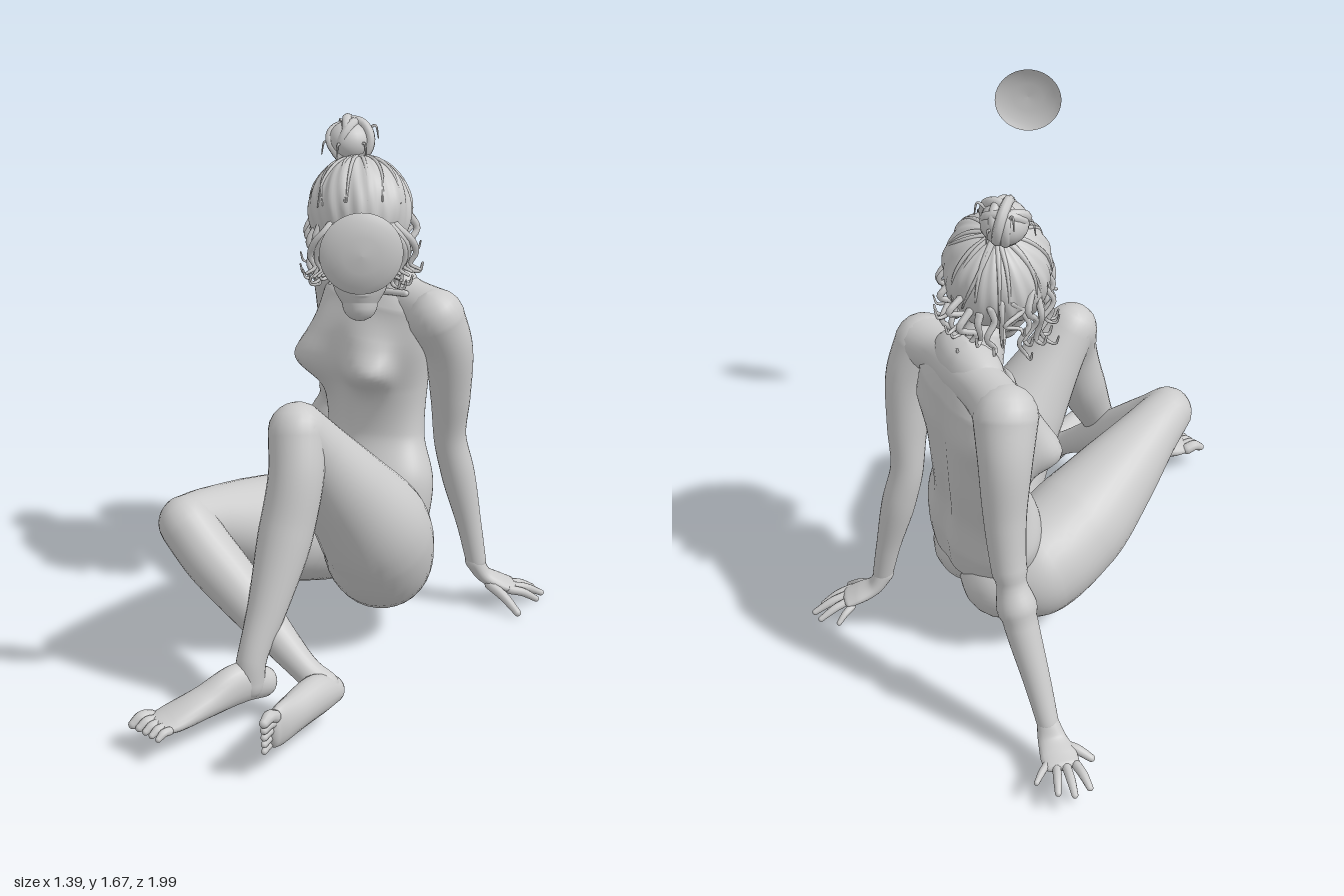
import * as THREE from 'three';
import { mergeVertices } from 'three/addons/utils/BufferGeometryUtils.js';

const V = (x, y, z) => new THREE.Vector3(x, y, z);
const mat = new THREE.MeshStandardMaterial({ color: 0xcccccc });
const thinMat = new THREE.MeshStandardMaterial({ color: 0xcccccc, side: THREE.DoubleSide });
const BACK = Math.PI / 2, FRONT = Math.PI * 1.5;

let seed = 7;
const rnd = (a, b) => {
  seed = (seed * 16807) % 2147483647;
  return a + (b - a) * seed / 2147483647;
};

function add(parent, name, geo, material = mat) {
  const m = new THREE.Mesh(geo, material);
  m.name = name;
  parent.add(m);
  return m;
}

// Soft swellings and hollows: each is [angle, side offset, t, amount, angle width, t width];
// a side offset mirrors the swelling to both sides of its angle.
const swell = list => (a, t) => list.reduce((sum, [a0, off, t0, amt, wa, wt]) => {
  const g = s => Math.exp(-(((a - a0 - s * off) / wa) ** 2) - ((t - t0) / wt) ** 2);
  return sum + amt * (off ? g(1) + g(-1) : g(0));
}, 1);

// Smooth round-ended skin through sections [x, y, z, radiusAlongRef, otherRadius].
// shape(angle, t) scales the outline locally.
function loft(secs, { ref = V(1, 0, 0), rings = 8, sides = 20, shape = () => 1 } = {}) {
  const path = new THREE.CatmullRomCurve3(secs.map(s => V(s[0], s[1], s[2])));
  const size = new THREE.CatmullRomCurve3(secs.map(s => V(s[3], s[4] ?? s[3], 0)));
  const stops = [], caps = 5, n = (secs.length - 1) * rings;
  for (let i = 0; i < caps; i++) stops.push([0, -Math.PI / 2 * (1 - i / caps)]);
  for (let i = 0; i <= n; i++) stops.push([i / n, 0]);
  for (let i = 1; i <= caps; i++) stops.push([1, Math.PI / 2 * i / caps]);
  const pos = [], idx = [];
  stops.forEach(([t, cap], i) => {
    const T = path.getTangent(t), r = size.getPoint(t), p = path.getPoint(t);
    const S = ref.clone().addScaledVector(T, -T.dot(ref)).normalize();
    const B = T.clone().cross(S);
    p.addScaledVector(T, Math.sin(cap) * Math.min(r.x, r.y));
    const c = Math.max(Math.cos(cap), 0.002);
    for (let j = 0; j < sides; j++) {
      const a = j / sides * Math.PI * 2, k = c * shape(a, t);
      const q = p.clone().addScaledVector(S, Math.cos(a) * r.x * k).addScaledVector(B, Math.sin(a) * r.y * k);
      pos.push(q.x, q.y, q.z);
      if (i < stops.length - 1) {
        const j2 = (j + 1) % sides, A = i * sides + j, D = i * sides + j2;
        idx.push(A, D, D + sides, A, D + sides, A + sides);
      }
    }
  });
  const g = new THREE.BufferGeometry();
  g.setAttribute('position', new THREE.Float32BufferAttribute(pos, 3));
  g.setIndex(idx);
  g.computeVertexNormals();
  return g;
}

function ball(parent, name, [x, y, z], [a, b, c], rotY = 0, rotX = 0) {
  const m = add(parent, name, new THREE.SphereGeometry(1, 24, 16));
  m.position.set(x, y, z);
  m.scale.set(a, b, c);
  m.rotation.set(rotX, rotY, 0, 'YXZ');
}

// Fingers or toes: each is [root, tip, radius]
function digits(parent, name, list) {
  for (const [a, b, r] of list) {
    const mid = a.map((v, i) => (v + b[i]) / 2);
    mid[1] += r * 0.5;
    add(parent, name, loft([[...a, r], [...mid, r * 0.95], [...b, r * 0.7]], { ref: V(0.3, 1, 0.2), rings: 4, sides: 10 }));
  }
}

function buildTorso(g) {
  // the trunk is turned towards -x; spine, chest and shoulder blades are modelled into its skin
  const shape = swell([
    [BACK, 0, 0.5, -0.1, 0.14, 0.4], [FRONT, 0, 0.45, -0.04, 0.13, 0.2],
    [FRONT, 0.48, 0.63, 0.55, 0.34, 0.06], [FRONT, 0.45, 0.7, 0.16, 0.4, 0.08],
    [BACK, 0.6, 0.74, 0.12, 0.28, 0.1], [BACK, 0.3, 0.45, 0.06, 0.16, 0.25],
    [FRONT, 0, 0.3, 0.06, 0.6, 0.1],
  ]);
  add(g, 'torso', loft([
    [0.08, 0.27, -0.07, 0.17, 0.11], [0.085, 0.35, -0.085, 0.225, 0.165], [0.1, 0.47, -0.12, 0.245, 0.158],
    [0.11, 0.62, -0.17, 0.21, 0.122], [0.11, 0.78, -0.208, 0.232, 0.128], [0.11, 0.95, -0.225, 0.262, 0.135],
    [0.125, 1.06, -0.235, 0.26, 0.115], [0.13, 1.13, -0.24, 0.17, 0.083],
  ], { ref: V(0.5, 0, 0.85), rings: 12, sides: 72, shape }));
  add(g, 'shoulderGirdle', loft([[0.28, 1.065, -0.02, 0.086], [0.21, 1.085, -0.12, 0.075], [0.14, 1.105, -0.24, 0.082],
    [0.075, 1.11, -0.35, 0.078], [0.02, 1.1, -0.45, 0.09]], { ref: V(0, 1, 0), sides: 28 }));
  add(g, 'neck', loft([[0.115, 1.1, -0.225, 0.085], [0.1, 1.15, -0.195, 0.074], [0.085, 1.2, -0.165, 0.066], [0.06, 1.3, -0.11, 0.066]]));
  for (const s of [1, -1]) {
    // offsets along the trunk's own left, and backwards
    const at = (y, l, b) => [0.12 + 0.5 * l * s + 0.85 * b, y, -0.23 + 0.85 * l * s - 0.5 * b];
    add(g, 'collarBone', loft([[...at(1.1, 0.03, -0.08), 0.011], [...at(1.122, 0.11, -0.068), 0.011],
      [...at(1.13, 0.2, -0.035), 0.011]], { ref: V(0, 1, 0), sides: 8 }));
  }
}

function buildArms(g) {
  add(g, 'leftArm', loft([[0.285, 1.06, -0.01, 0.092], [0.328, 0.95, -0.03, 0.08], [0.343, 0.78, -0.06, 0.066],
    [0.348, 0.62, -0.085, 0.054], [0.375, 0.5, -0.09, 0.056], [0.42, 0.3, -0.085, 0.041], [0.445, 0.17, -0.08, 0.034]], { sides: 28 }));
  add(g, 'leftHand', loft([[0.44, 0.17, -0.08, 0.034, 0.032], [0.475, 0.115, -0.085, 0.042, 0.026],
    [0.53, 0.085, -0.09, 0.055, 0.022], [0.565, 0.07, -0.095, 0.055, 0.018]], { ref: V(0, 0, 1) }));
  digits(g, 'leftFinger', [
    [[0.56, 0.07, -0.05], [0.655, 0.02, -0.075], 0.015], [[0.565, 0.07, -0.08], [0.68, 0.02, -0.12], 0.015],
    [[0.56, 0.068, -0.11], [0.655, 0.025, -0.16], 0.014], [[0.55, 0.065, -0.14], [0.59, 0.035, -0.19], 0.012],
    [[0.49, 0.09, -0.055], [0.575, 0.02, 0.025], 0.017]]);
  add(g, 'rightArm', loft([[0.015, 1.095, -0.455, 0.098], [0.015, 0.98, -0.515, 0.082], [0.015, 0.8, -0.555, 0.065],
    [0, 0.62, -0.595, 0.054], [-0.03, 0.48, -0.635, 0.054], [-0.09, 0.27, -0.71, 0.041], [-0.12, 0.16, -0.755, 0.034]], { sides: 28 }));
  add(g, 'rightHand', loft([[-0.12, 0.16, -0.755, 0.034, 0.032], [-0.135, 0.12, -0.79, 0.045, 0.026],
    [-0.155, 0.105, -0.84, 0.057, 0.022], [-0.165, 0.1, -0.875, 0.056, 0.018]]));
  digits(g, 'rightFinger', [
    [[-0.21, 0.1, -0.875], [-0.25, 0.09, -0.955], 0.015], [[-0.18, 0.1, -0.885], [-0.205, 0.09, -0.985], 0.015],
    [[-0.15, 0.1, -0.885], [-0.155, 0.09, -0.98], 0.014], [[-0.122, 0.1, -0.87], [-0.09, 0.09, -0.94], 0.012],
    [[-0.165, 0.11, -0.8], [-0.255, 0.085, -0.83], 0.017]]);
}

function buildLegs(g) {
  // each thigh runs on backwards into the seat
  const ref = V(1, 0, -0.5);
  add(g, 'leftThigh', loft([[0.135, 0.275, -0.02, 0.14, 0.15], [0.1, 0.3, 0.1, 0.175, 0.185], [0.075, 0.42, 0.2, 0.18],
    [-0.03, 0.61, 0.3, 0.142], [-0.125, 0.77, 0.37, 0.102], [-0.175, 0.85, 0.405, 0.086]], { ref, sides: 32 }));
  add(g, 'leftShin', loft([[-0.18, 0.85, 0.41, 0.086], [-0.185, 0.73, 0.46, 0.084], [-0.22, 0.56, 0.505, 0.083],
    [-0.28, 0.36, 0.585, 0.06], [-0.33, 0.22, 0.64, 0.045], [-0.34, 0.14, 0.645, 0.046]], { ref, sides: 24 }));
  add(g, 'leftFoot', loft([[-0.3, 0.125, 0.61, 0.045, 0.048], [-0.37, 0.15, 0.66, 0.046, 0.065],
    [-0.47, 0.125, 0.715, 0.055, 0.046], [-0.57, 0.1, 0.765, 0.064, 0.028], [-0.605, 0.095, 0.785, 0.058, 0.02]],
  { ref: V(0.53, 0, 0.85) }));
  for (let i = 0; i < 5; i++) {
    const k = i / 4;
    digits(g, 'leftToe', [[[-0.63 + 0.055 * k, 0.098, 0.745 + 0.085 * k],
      [-0.68 + 0.075 * k, 0.09, 0.77 + 0.09 * k], 0.021 - 0.008 * Math.sqrt(k)]]);
    digits(g, 'rightToe', [[[-0.275, 0.195 - 0.09 * k, 0.935 - 0.02 * k],
      [-0.305, 0.2 - 0.105 * k, 0.98 - 0.025 * k], 0.02 - 0.007 * Math.sqrt(k)]]);
  }
  add(g, 'rightThigh', loft([[0.03, 0.27, -0.19, 0.145, 0.15], [-0.07, 0.285, -0.145, 0.18], [-0.2, 0.345, -0.02, 0.178],
    [-0.34, 0.435, 0.14, 0.142], [-0.455, 0.51, 0.28, 0.102], [-0.515, 0.54, 0.36, 0.086]], { ref: V(1, 0, -1), sides: 32 }));
  add(g, 'rightShin', loft([[-0.515, 0.54, 0.365, 0.086], [-0.45, 0.46, 0.42, 0.087], [-0.35, 0.36, 0.5, 0.078],
    [-0.24, 0.25, 0.6, 0.054], [-0.165, 0.18, 0.66, 0.043], [-0.12, 0.145, 0.685, 0.047]], { ref: V(0, 1, 0), sides: 24 }));
  add(g, 'rightFoot', loft([[-0.105, 0.125, 0.67, 0.045, 0.05], [-0.15, 0.142, 0.735, 0.062, 0.054],
    [-0.215, 0.145, 0.83, 0.06, 0.046], [-0.26, 0.15, 0.905, 0.064, 0.032], [-0.275, 0.15, 0.93, 0.058, 0.022]],
  { ref: V(0, 1, 0) }));
}

function buildHead(g) {
  // brow, eye sockets, nose, lips and cheeks are modelled into the skin
  const shape = swell([
    [FRONT, 0, 0.34, 0.26, 0.17, 0.045], [FRONT, 0, 0.43, 0.14, 0.12, 0.07], [FRONT, 0.42, 0.5, -0.07, 0.2, 0.045],
    [FRONT, 0.35, 0.6, 0.04, 0.3, 0.05], [FRONT, 0, 0.215, 0.07, 0.28, 0.02], [FRONT, 0, 0.15, 0.06, 0.24, 0.022],
    [FRONT, 0.75, 0.38, 0.05, 0.3, 0.09],
  ]);
  add(g, 'head', loft([[0.04, 1.12, 0.02, 0.056, 0.055], [0.041, 1.16, 0.008, 0.08, 0.08], [0.044, 1.22, -0.015, 0.097, 0.1],
    [0.047, 1.31, -0.055, 0.115, 0.13], [0.05, 1.4, -0.09, 0.12, 0.13]], { rings: 18, sides: 72, shape }));
  for (const s of [1, -1]) {
    ball(g, 'eyelid', [0.042 + 0.04 * s, 1.228, 0.057], [0.023, 0.012, 0.014], 0.35 * s);
    ball(g, 'ear', [0.046 + 0.11 * s, 1.25, -0.07], [0.013, 0.038, 0.024], 0, -0.3);
  }
}

function buildHair(parent) {
  const g = new THREE.Group();
  g.name = 'hair';
  parent.add(g);
  // softly ridged cap, swept back towards the bun
  const cap = new THREE.SphereGeometry(1, 120, 40);
  cap.deleteAttribute('uv');
  cap.deleteAttribute('normal');
  const p = cap.attributes.position;
  for (let i = 0; i < p.count; i++) {
    const y = p.getY(i), f = Math.atan2(p.getZ(i), p.getX(i)), e = Math.sqrt(Math.max(0, 1 - y * y));
    const k = 1 + e * (0.02 * Math.sin(9 * f + 3 * y) + 0.014 * Math.sin(23 * f - 2 * y));
    p.setXYZ(i, p.getX(i) * k * 0.163, y * k * 0.168, p.getZ(i) * k * 0.185);
  }
  const capGeo = mergeVertices(cap, 1e-5);
  capGeo.computeVertexNormals();
  const capMesh = add(g, 'hairCap', capGeo);
  capMesh.position.set(0.05, 1.39, -0.105);
  capMesh.rotation.x = -0.42;

  const strand = (pts, r) => add(g, 'strand', loft(pts.map((q, i) => [...q, r * (1 - 0.7 * i / (pts.length - 1))]),
    { ref: V(0.31, 0.2, 0.93), rings: 5, sides: 6 }));
  // point on the cap surface: angle round the crown, tilt from the pole
  const onCap = (f, e, k) => V(Math.cos(f) * Math.sin(e) * 0.163 * k, Math.cos(e) * 0.168 * k, Math.sin(f) * Math.sin(e) * 0.185 * k)
    .applyAxisAngle(V(1, 0, 0), -0.42).add(V(0.05, 1.39, -0.105)).toArray();
  for (let i = 0; i < 18; i++) {
    const f = i / 18 * Math.PI * 2 + rnd(-0.14, 0.14), drift = rnd(-0.15, 0.15);
    strand([0.15, 0.6, 1.1, 1.6].map((e, j) => onCap(f + drift * j, e, 1)), 0.009);
  }
  // wavy locks parted over the brow and swept out to the temples
  for (const s of [1, -1]) for (let i = 0; i < 7; i++) {
    const x = 0.045 + s * (0.008 + 0.014 * i), z = 0.08 - 0.009 * i, w = s * rnd(0.045, 0.065), d = rnd(0, 0.03);
    strand([[x - s * 0.012, 1.39, z - 0.015], [x + w * 0.35, 1.365, z + 0.024], [x + w, 1.325, z + 0.022],
      [x + w * 1.2, 1.285 - d, z + 0.004], [x + w * 0.95, 1.25 - d, z + 0.002], [x + w * 1.4, 1.235 - d, z + 0.014]], 0.016);
  }
  // long loose curls at the temples, fewer at the nape
  for (let i = 0; i < 24; i++) {
    const f = 2.2 + i / 23 * 5.0, c = Math.cos(f), s = Math.sin(f);
    const len = rnd(0.11, 0.2) * (0.75 + 0.25 * Math.abs(c)), w = rnd(-0.025, 0.025), y = rnd(1.33, 1.39);
    const x = 0.05 + 0.148 * c, z = -0.11 + 0.172 * s;
    strand([[x, y, z], [x + c * 0.018 + w, y - len * 0.3, z + s * 0.012 - w], [x - w * 0.8, y - len * 0.65, z + w],
      [x + w, y - len, z - s * 0.015], [x + w + c * 0.026, y - len - 0.004, z + s * 0.012],
      [x + w + c * 0.036, y - len + 0.024, z + s * 0.02]], rnd(0.009, 0.013));
  }
  // bun wound from loops
  ball(g, 'bun', [0.025, 1.59, -0.19], [0.072, 0.066, 0.074]);
  for (let i = 0; i < 8; i++) {
    const m = add(g, 'bunLoop', new THREE.TorusGeometry(rnd(0.05, 0.062), 0.016, 8, 28));
    m.position.set(0.025 + rnd(-0.01, 0.01), 1.592 + rnd(-0.01, 0.01), -0.19 + rnd(-0.01, 0.01));
    m.rotation.set(rnd(0, 3.1), rnd(0, 3.1), 0);
  }
  for (let i = 0; i < 6; i++) {
    const a = i * 1.05 + rnd(0, 0.3), c = Math.cos(a), s = Math.sin(a), y = rnd(1.57, 1.63);
    strand([[0.025 + c * 0.05, y, -0.19 + s * 0.05], [0.025 + c * 0.08, y + 0.02, -0.19 + s * 0.078],
      [0.025 + c * 0.09, y - 0.02, -0.19 + s * 0.085]], 0.006);
  }
}

export function createModel() {
  const model = new THREE.Group();
  model.name = 'seatedFigure';
  [buildTorso, buildArms, buildLegs, buildHead, buildHair].forEach(build => build(model));
  // plain, slightly domed disc floating in front of the head
  const profile = [[0.0001, 0.015], [0.05, 0.012], [0.09, 0.002], [0.112, -0.012]].map(q => new THREE.Vector2(...q));
  const disc = add(model, 'floatingDisc', new THREE.LatheGeometry(profile, 48), thinMat);
  disc.rotation.x = Math.PI / 2;
  disc.position.set(-0.022, 1.5, 0.815);
  return model;
}
